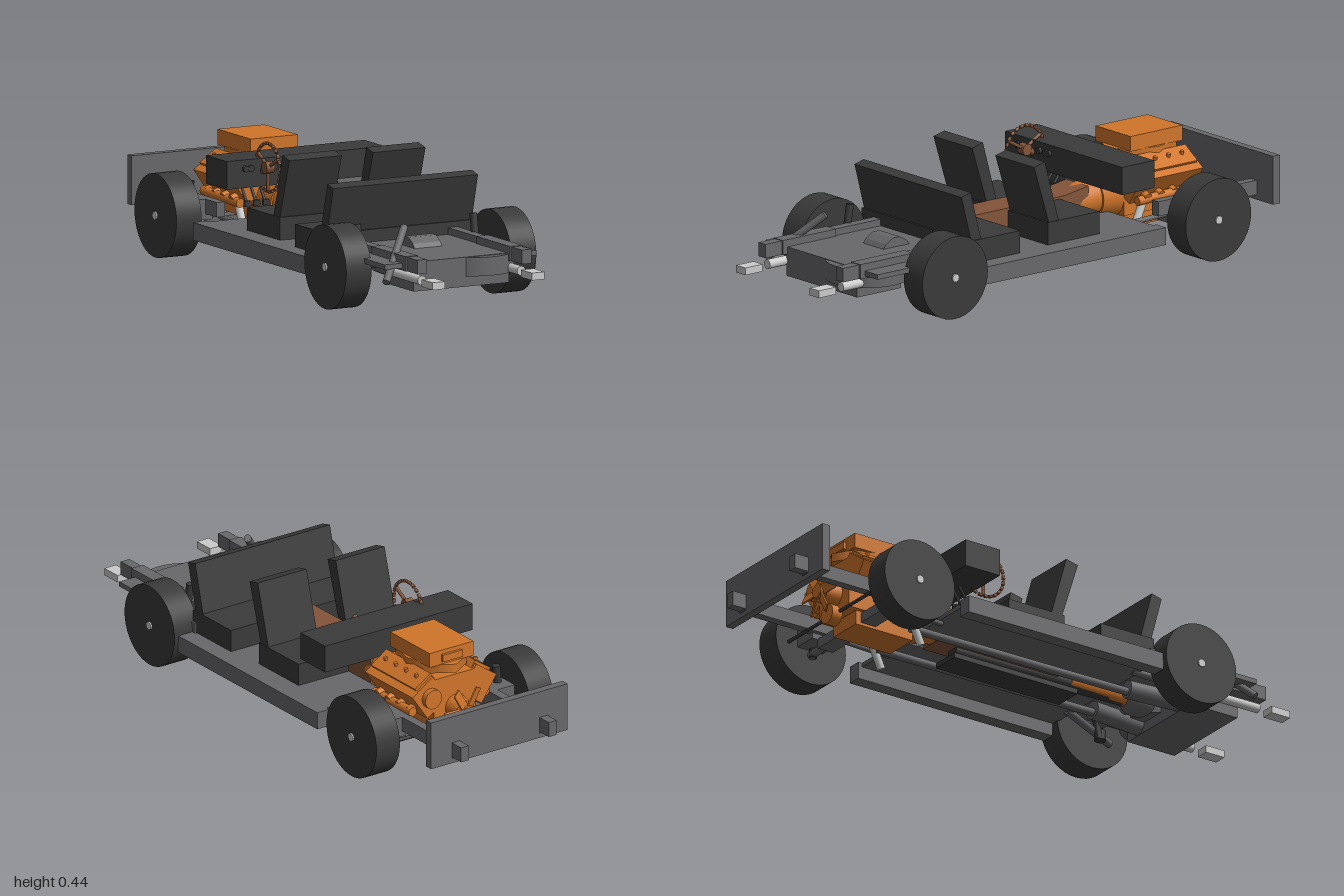
import * as THREE from 'three';

const mat = (color) => new THREE.MeshStandardMaterial({ color });
const DARK = mat(0x3a3a3a), GREY = mat(0x68686b), LIGHT = mat(0xcccccc);
const ORANGE = mat(0xd0752a), BROWN = mat(0x84553a);

export function createModel() {
  const car = new THREE.Group();
  car.name = 'rollingChassis';

  const add = (name, geo, m, x = 0, y = 0, z = 0) => {
    const mesh = new THREE.Mesh(geo, m);
    mesh.name = name;
    mesh.position.set(x, y, z);
    car.add(mesh);
    return mesh;
  };
  // Box given by its extents
  const box = (name, m, x0, x1, y0, y1, z0, z1) =>
    add(name, new THREE.BoxGeometry(x1 - x0, y1 - y0, z1 - z0), m, (x0 + x1) / 2, (y0 + y1) / 2, (z0 + z1) / 2);
  // Round bar between two points
  const rod = (name, m, a, b, r, r2 = r, seg = 16) => {
    const p = new THREE.Vector3(...a), q = new THREE.Vector3(...b);
    const mesh = add(name, new THREE.CylinderGeometry(r2, r, p.distanceTo(q), seg), m);
    mesh.position.copy(p).lerp(q, 0.5);
    mesh.quaternion.setFromUnitVectors(new THREE.Vector3(0, 1, 0), q.sub(p).normalize());
    return mesh;
  };
  // Outline in (z, y) extruded from x0 to x1
  const side = (name, m, pts, x0, x1) => {
    const shape = new THREE.Shape(pts.map(([z, y]) => new THREE.Vector2(-z, y)));
    const geo = new THREE.ExtrudeGeometry(shape, { depth: x1 - x0, bevelEnabled: false });
    geo.rotateY(Math.PI / 2);
    return add(name, geo, m, x0, 0, 0);
  };
  const both = (fn) => [-1, 1].forEach(fn);

  // Wheels with small hub pins
  for (const z of [0.535, -0.61]) {
    both((s) => {
      const x = s * 0.315 - (z > 0 ? 0.004 : 0.005);
      rod('wheel', DARK, [x - 0.048, 0.142, z], [x + 0.048, 0.142, z], 0.142, 0.142, 40);
      rod('hubPin', LIGHT, [x, 0.142, z], [x + s * 0.053, 0.142, z], 0.014);
    });
  }

  // Floor, sills and rear deck
  both((s) => {
    box('sill', GREY, s * 0.32 - 0.027, s * 0.32 + 0.023, 0.09, 0.15, -0.395, 0.395);
    box('floorPanel', GREY, s * 0.18 - 0.125, s * 0.18 + 0.125, 0.135, 0.15, -0.38, 0.4);
  });
  box('rearDeck', GREY, -0.295, 0.285, 0.168, 0.185, 0.38, 0.81);
  box('rearStep', GREY, -0.295, 0.285, 0.135, 0.185, 0.38, 0.4);
  box('fuelTank', GREY, -0.185, 0.18, 0.085, 0.168, 0.62, 0.81);
  rod('spareWell', GREY, [0.1, 0.12, 0.7], [0.1, 0.183, 0.7], 0.14, 0.14, 32);
  side('differentialCover', GREY, [[0.47, 0.18], [0.59, 0.18], [0.575, 0.2], [0.545, 0.217], [0.515, 0.217], [0.485, 0.2]], -0.055, 0.05);
  rod('fillerPipe', GREY, [-0.29, 0.125, 0.81], [-0.145, 0.28, 0.675], 0.013);

  // Rear frame rails, lamps and tailpipes
  both((s) => {
    const x = s * 0.2 - 0.004;
    box('rearRail', GREY, x - 0.018, x + 0.018, 0.16, 0.208, 0.4, 0.9);
    box('rearRailSleeve', GREY, x - 0.024, x + 0.024, 0.16, 0.21, 0.6, 0.83);
    const lx = s * 0.19 - 0.006;
    box('rearBracket', LIGHT, lx - 0.024, lx + 0.024, 0.122, 0.147, 0.925, 1.0);
    rod('tailpipe', LIGHT, [lx, 0.135, 0.68], [lx, 0.135, 0.885], 0.016);
    rod('shockAbsorber', DARK, [x - 0.023 * (s < 0) + 0.022 * (s > 0), 0.085, 0.53], [s * 0.222 - 0.004, 0.27, 0.5], 0.013);
    rod('springSeat', DARK, [s * 0.225, 0.085, 0.54], [s * 0.225, 0.12, 0.54], 0.02);
    rod('trailingArm', GREY, [s * 0.255, 0.1, 0.6], [s * 0.19, 0.14, 0.38], 0.014);
  });
  rod('rearAxle', GREY, [-0.28, 0.142, 0.535], [0.28, 0.142, 0.535], 0.018);
  const diff = add('rearDifferential', new THREE.SphereGeometry(0.06, 20, 14), GREY, 0, 0.142, 0.53);
  diff.scale.set(0.9, 0.9, 1.1);
  rod('differentialNose', ORANGE, [0, 0.14, 0.48], [0, 0.14, 0.25], 0.03);

  // Underbody: drive shaft, shield and exhaust
  rod('driveShaft', DARK, [0, 0.125, -0.22], [0, 0.135, 0.47], 0.025);
  box('underShield', DARK, -0.057, 0.05, 0.072, 0.09, -0.25, 0.25);
  both((s) => {
    rod('exhaustDownpipe', LIGHT, [s * 0.115 - 0.004, 0.2, -0.5], [s * 0.115 - 0.004, 0.043, -0.43], 0.014);
    rod('exhaustPipe', GREY, [s * 0.1, 0.105, -0.46], [s * 0.1, 0.11, 0.5], 0.014);
    rod('muffler', GREY, [s * 0.1, 0.118, 0.42], [s * 0.12, 0.118, 0.66], 0.032);
  });

  // Seats
  both((s) => {
    const x = s * 0.16 - 0.002;
    box('frontSeatCushion', DARK, x - 0.103, x + 0.103, 0.15, 0.227, -0.175, 0.05);
    side('frontSeatBack', DARK, [[0.0, 0.225], [0.042, 0.222], [0.107, 0.427], [0.06, 0.438]], x - 0.1, x + 0.1);
  });
  box('rearSeatCushion', DARK, -0.285, 0.278, 0.15, 0.227, 0.185, 0.4);
  side('rearSeatBack', DARK, [[0.35, 0.225], [0.392, 0.222], [0.435, 0.384], [0.395, 0.394]], -0.28, 0.273);

  // Tunnel, gear lever, dashboard and pedals
  side('tunnel', BROWN, [[-0.3, 0.13], [0.19, 0.13], [0.19, 0.235], [-0.2, 0.235], [-0.3, 0.25]], -0.06, 0.055);
  rod('gearGaiter', BROWN, [-0.005, 0.23, -0.12], [-0.005, 0.25, -0.12], 0.026, 0.014);
  rod('gearLever', BROWN, [-0.005, 0.24, -0.115], [-0.005, 0.305, -0.13], 0.006);
  add('gearKnob', new THREE.SphereGeometry(0.013, 14, 10), BROWN, -0.005, 0.31, -0.13);
  box('dashboard', DARK, -0.305, 0.3, 0.28, 0.375, -0.38, -0.24);
  for (const x of [-0.235, -0.215, -0.125, -0.09, -0.075])
    rod('gauge', DARK, [x, 0.345, -0.245], [x, 0.345, -0.23], 0.011);
  for (const x of [-0.195, -0.16, -0.125]) {
    rod('pedalArm', DARK, [x, 0.26, -0.33], [x, 0.21, -0.295], 0.005);
    box('pedal', DARK, x - 0.012, x + 0.012, 0.205, 0.225, -0.3, -0.29);
  }

  // Steering wheel as a ring of short grips with three spokes
  const hub = [-0.165, 0.348, -0.208];
  const at = (a, r, x = hub[0]) => [x, hub[1] + Math.sin(a) * r, hub[2] + Math.cos(a) * r];
  for (let i = 0; i < 24; i++) {
    const a = (i / 24) * Math.PI * 2;
    rod('steeringGrip', BROWN, at(a, 0.081), at(a + 0.17, 0.081), 0.006, 0.006, 8);
  }
  for (let i = 0; i < 3; i++) rod('steeringSpoke', BROWN, hub, at(0.5 + i * 2.094, 0.078), 0.006, 0.006, 8);
  rod('steeringHub', BROWN, [-0.18, hub[1], hub[2]], [-0.15, hub[1], hub[2]], 0.02);
  rod('steeringColumn', BROWN, hub, [-0.165, 0.27, -0.38], 0.012);

  // Gearbox and engine block
  rod('bellHousing', ORANGE, [0, 0.195, -0.43], [0, 0.195, -0.35], 0.085, 0.075, 24);
  rod('gearbox', ORANGE, [0, 0.195, -0.36], [0, 0.185, -0.2], 0.07, 0.045, 24);
  box('engineBlock', ORANGE, -0.085, 0.085, 0.13, 0.31, -0.7, -0.43);
  box('oilPan', ORANGE, -0.07, 0.06, 0.08, 0.135, -0.66, -0.43);
  both((s) => {
    const head = box('cylinderHead', ORANGE, s * 0.1 - 0.05, s * 0.1 + 0.05, 0.195, 0.305, -0.7, -0.43);
    head.rotation.z = s * -0.6;
    const cover = box('valveCover', ORANGE, s * 0.115 - 0.038, s * 0.115 + 0.038, 0.285, 0.315, -0.69, -0.44);
    cover.rotation.z = s * -0.6;
    for (let i = 0; i < 4; i++) {
      const z = -0.65 + i * 0.058;
      rod('coverBolt', ORANGE, [s * 0.115, 0.3, z], [s * 0.123, 0.325, z], 0.007, 0.007, 8);
      rod('exhaustPort', ORANGE, [s * 0.1, 0.22, z], [s * 0.155, 0.2, z], 0.014);
    }
    rod('manifold', ORANGE, [s * 0.15, 0.2, -0.67], [s * 0.14, 0.19, -0.44], 0.016);
  });
  rod('carburettor', ORANGE, [0, 0.3, -0.565], [0, 0.33, -0.565], 0.1, 0.09, 24);
  rod('airCleanerBase', ORANGE, [0, 0.32, -0.565], [0, 0.35, -0.565], 0.145, 0.145, 8).scale.x = 0.7;
  box('airCleaner', ORANGE, -0.092, 0.088, 0.348, 0.4, -0.68, -0.455);
  box('airIntake', ORANGE, -0.04, 0.04, 0.36, 0.385, -0.69, -0.67);

  // Fan, pulleys and alternator
  rod('fanShaft', ORANGE, [-0.005, 0.195, -0.69], [-0.005, 0.195, -0.755], 0.045, 0.035, 20);
  rod('fanHub', ORANGE, [-0.005, 0.195, -0.75], [-0.005, 0.195, -0.775], 0.025);
  for (let i = 0; i < 6; i++) {
    const a = (i / 6) * Math.PI * 2;
    const blade = add('fanBlade', new THREE.BoxGeometry(0.07, 0.034, 0.005), ORANGE, -0.005 + Math.cos(a) * 0.055, 0.195 + Math.sin(a) * 0.055, -0.765);
    blade.rotation.set(0, 0, a);
    blade.rotateX(0.4);
  }
  rod('alternator', ORANGE, [0.1, 0.25, -0.66], [0.1, 0.25, -0.72], 0.034, 0.034, 20);
  rod('crankPulley', ORANGE, [0, 0.125, -0.69], [0, 0.125, -0.73], 0.035, 0.035, 20);

  // Nose rails, bumper and front suspension
  both((s) => {
    const x = s * 0.18 - 0.006;
    box('frontRail', GREY, x - 0.016, x + 0.016, 0.14, 0.19, -0.95, -0.49);
    box('bumperHorn', GREY, x - 0.016, x + 0.016, 0.145, 0.197, -1, -0.94);
    rod('railBrace', GREY, [s * 0.155, 0.13, -0.55], [s * 0.155, 0.125, -0.37], 0.009);
    box('suspensionBlock', GREY, s * 0.225 - 0.05, s * 0.225 + 0.05, 0.12, 0.19, -0.665, -0.565);
    rod('frontShock', DARK, [s * 0.25, 0.09, -0.61], [s * 0.235, 0.25, -0.61], 0.014);
    rod('lowerArm', GREY, [s * 0.28, 0.1, -0.61], [s * 0.11, 0.115, -0.61], 0.014);
  });
  box('frontCrossmember', GREY, -0.19, 0.18, 0.09, 0.125, -0.64, -0.58);
  rod('tieRod', DARK, [-0.27, 0.13, -0.7], [0.265, 0.13, -0.7], 0.006);
  box('bumper', GREY, -0.285, 0.275, 0.123, 0.29, -0.947, -0.918);

  return car;
}
